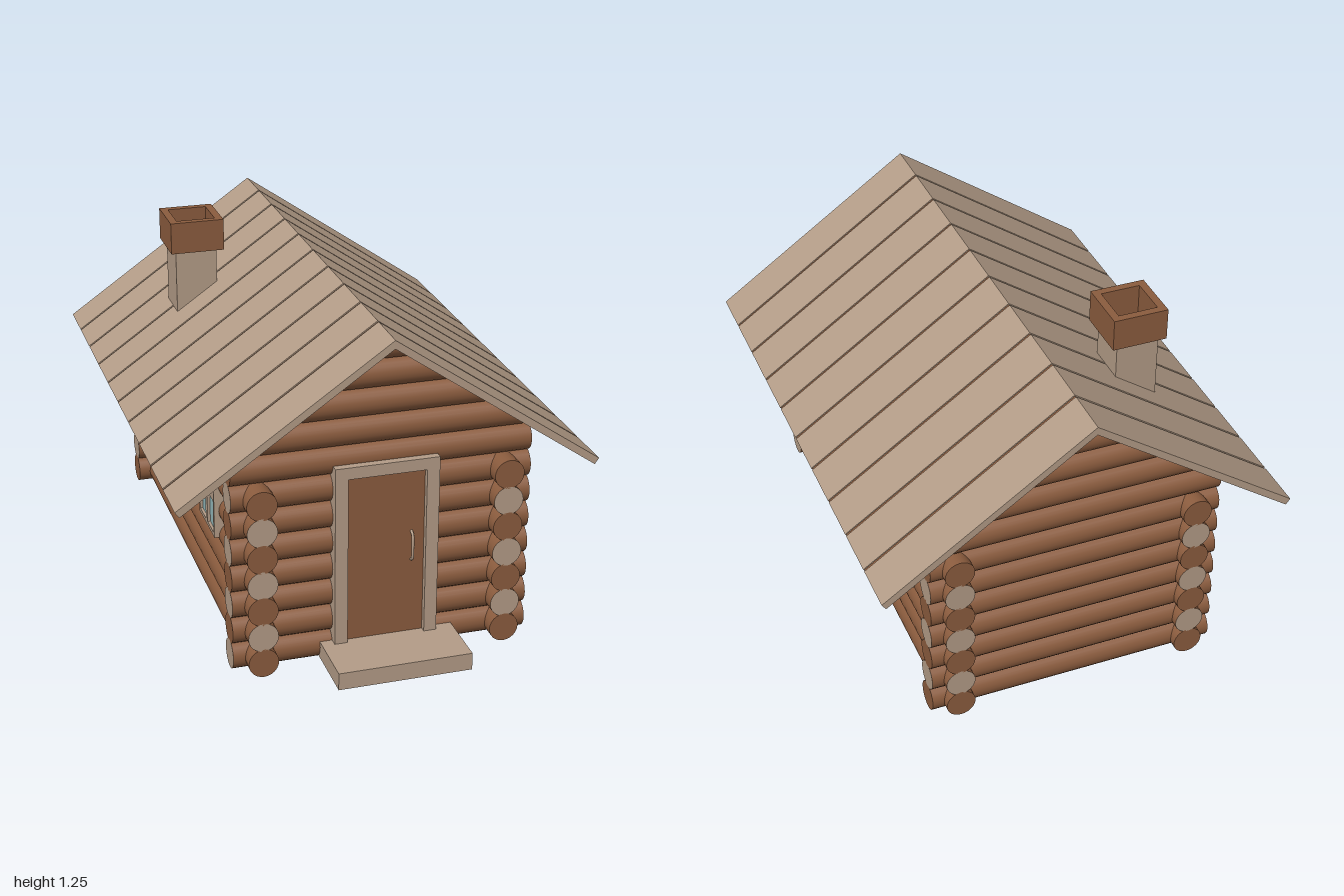
import * as THREE from 'three';

const brown = new THREE.MeshStandardMaterial({ color: 0x8b5c3e });
const tan = new THREE.MeshStandardMaterial({ color: 0xb39c87 });
const glass = new THREE.MeshStandardMaterial({ color: 0x93b8bb });

const R = 0.053, PITCH = 0.0985;            // log radius and row spacing
const FRONT_Z = 0.73, BACK_Z = -0.83, SIDE_X = 0.435;
const logY = (row) => R + row * PITCH;

function add(parent, name, geometry, material) {
  const mesh = new THREE.Mesh(geometry, material);
  mesh.name = name;
  parent.add(mesh);
  return mesh;
}

// Box given by its minimum and maximum corners
function box(parent, name, [x0, y0, z0], [x1, y1, z1], material) {
  const g = new THREE.BoxGeometry(x1 - x0, y1 - y0, z1 - z0);
  g.translate((x0 + x1) / 2, (y0 + y1) / 2, (z0 + z1) / 2);
  return add(parent, name, g, material);
}

function rectPath(Type, x0, y0, x1, y1) {
  return new Type([[x0, y0], [x1, y0], [x1, y1], [x0, y1]].map(([x, y]) => new THREE.Vector2(x, y)));
}

// Flat rectangular frame with rectangular openings, thickness along +z
function frameGeometry(outer, openings, depth) {
  const shape = rectPath(THREE.Shape, ...outer);
  openings.forEach((o) => shape.holes.push(rectPath(THREE.Path, ...o)));
  return new THREE.ExtrudeGeometry(shape, { depth, bevelEnabled: false });
}

function buildWalls() {
  const walls = new THREE.Group();
  walls.name = 'logWalls';
  const crossLog = (length) => new THREE.CylinderGeometry(R, R, length, 24).rotateZ(-Math.PI / 2);
  const sideLog = (length) => new THREE.CylinderGeometry(R, R, length, 24).rotateX(Math.PI / 2);

  for (let row = 0; row < 8; row++) {
    const even = row % 2 === 0, top = row === 7;
    // front and back logs, their cut ends alternating in colour
    for (const z of [FRONT_Z, BACK_Z]) {
      const pale = !top && even === (z > 0);
      const end = pale ? tan : brown;
      add(walls, z > 0 ? 'frontLog' : 'backLog', crossLog(1.06), [brown, end, end])
        .position.set(0, logY(row), z);
    }
    // side logs; the top one stops inside the gables
    const z0 = top ? BACK_Z : -0.91, z1 = top ? FRONT_Z : 0.83;
    const end = even ? brown : tan;
    for (const s of [1, -1]) {
      add(walls, s > 0 ? 'leftLog' : 'rightLog', sideLog(z1 - z0), [brown, end, end])
        .position.set(s * SIDE_X, logY(row), (z0 + z1) / 2);
    }
  }

  // gable logs, ends cut along the roof slope
  for (let row = 8; row < 12; row++) {
    const g = crossLog(2);
    const p = g.attributes.position;
    for (let i = 0; i < p.count; i++) {
      const y = Math.min(p.getY(i) + logY(row), 1.175);
      p.setXYZ(i, p.getX(i) * (1.18 - y) / 0.692, y, p.getZ(i));
    }
    for (const z of [FRONT_Z, BACK_Z]) add(walls, 'gableLog', g, brown).position.z = z;
  }
  return walls;
}

function buildRoof() {
  const roof = new THREE.Group();
  roof.name = 'roof';
  // chevron cross-section from half an outline, mirrored
  const chevron = (ridgeTop, outer, inner, ridgeBottom, z0, z1) => {
    const [[ox, oy], [ix, iy]] = [outer, inner];
    const points = [[0, ridgeTop], [-ox, oy], [-ix, iy], [0, ridgeBottom], [ix, iy], [ox, oy]];
    const shape = new THREE.Shape(points.map(([x, y]) => new THREE.Vector2(x, y)));
    return new THREE.ExtrudeGeometry(shape, { depth: z1 - z0, bevelEnabled: false }).translate(0, 0, z0);
  };
  const gap = 0.01, pitch = 0.19;
  for (let i = 0; i < 10; i++) {
    const z1 = i === 0 ? 0.88 : 0.7 - (i - 1) * pitch - gap / 2;
    const z0 = i === 9 ? -1 : 0.7 - i * pitch + gap / 2;
    add(roof, 'roofPlank', chevron(1.2, [0.738, 0.689], [0.723, 0.668], 1.17, z0, z1), tan);
  }
  // brown core showing in the joints
  add(roof, 'roofJoints', chevron(1.195, [0.734, 0.687], [0.724, 0.673], 1.175, -0.99, 0.87), brown);
  return roof;
}

function buildChimney() {
  const chimney = new THREE.Group();
  chimney.name = 'chimney';
  box(chimney, 'chimneyStack', [-0.44, 0.87, -0.525], [-0.285, 1.135, -0.37], tan);
  const cap = frameGeometry([-0.1, -0.1, 0.1, 0.1], [[-0.072, -0.072, 0.072, 0.072]], 0.118);
  add(chimney, 'chimneyCap', cap.rotateX(-Math.PI / 2), brown).position.set(-0.361, 1.132, -0.446);
  return chimney;
}

function buildDoor() {
  const door = new THREE.Group();
  door.name = 'door';
  box(door, 'doorPanel', [-0.135, 0.06, 0.7], [0.15, 0.695, 0.788], brown);
  const frame = frameGeometry([-0.178, 0.05, 0.19, 0.735], [[-0.132, 0.052, 0.145, 0.692]], 0.11);
  add(door, 'doorFrame', frame, tan).position.z = 0.7;
  // bowed pull handle
  const grip = new THREE.CatmullRomCurve3([[0.35, 0.785], [0.36, 0.802], [0.405, 0.806], [0.45, 0.802], [0.46, 0.785]]
    .map(([y, z]) => new THREE.Vector3(0.1, y, z)));
  add(door, 'doorHandle', new THREE.TubeGeometry(grip, 16, 0.005, 8), tan);
  box(door, 'doorStep', [-0.222, 0.01, 0.76], [0.255, 0.073, 1], tan);
  return door;
}

// Four-pane window facing +z, centred on its own origin
function buildWindow() {
  const win = new THREE.Group();
  win.name = 'window';
  const panes = [];
  for (const x of [-0.1, 0.013]) for (const y of [-0.137, 0.015]) panes.push([x, y, x + 0.087, y + 0.122]);
  add(win, 'windowFrame', frameGeometry([-0.115, -0.152, 0.115, 0.152], panes, 0.07), tan).position.z = -0.07;
  box(win, 'windowGlass', [-0.11, -0.147, -0.06], [0.11, 0.147, -0.01], glass);
  return win;
}

export function createModel() {
  const cabin = new THREE.Group();
  cabin.name = 'logCabin';
  cabin.add(buildWalls(), buildRoof(), buildChimney(), buildDoor());
  // two windows on each long side
  for (const s of [1, -1]) {
    for (const z of [0.32, -0.48]) {
      const win = buildWindow();
      win.position.set(s * 0.505, 0.498, z);
      win.rotation.y = s * Math.PI / 2;
      cabin.add(win);
    }
  }
  return cabin;
}
